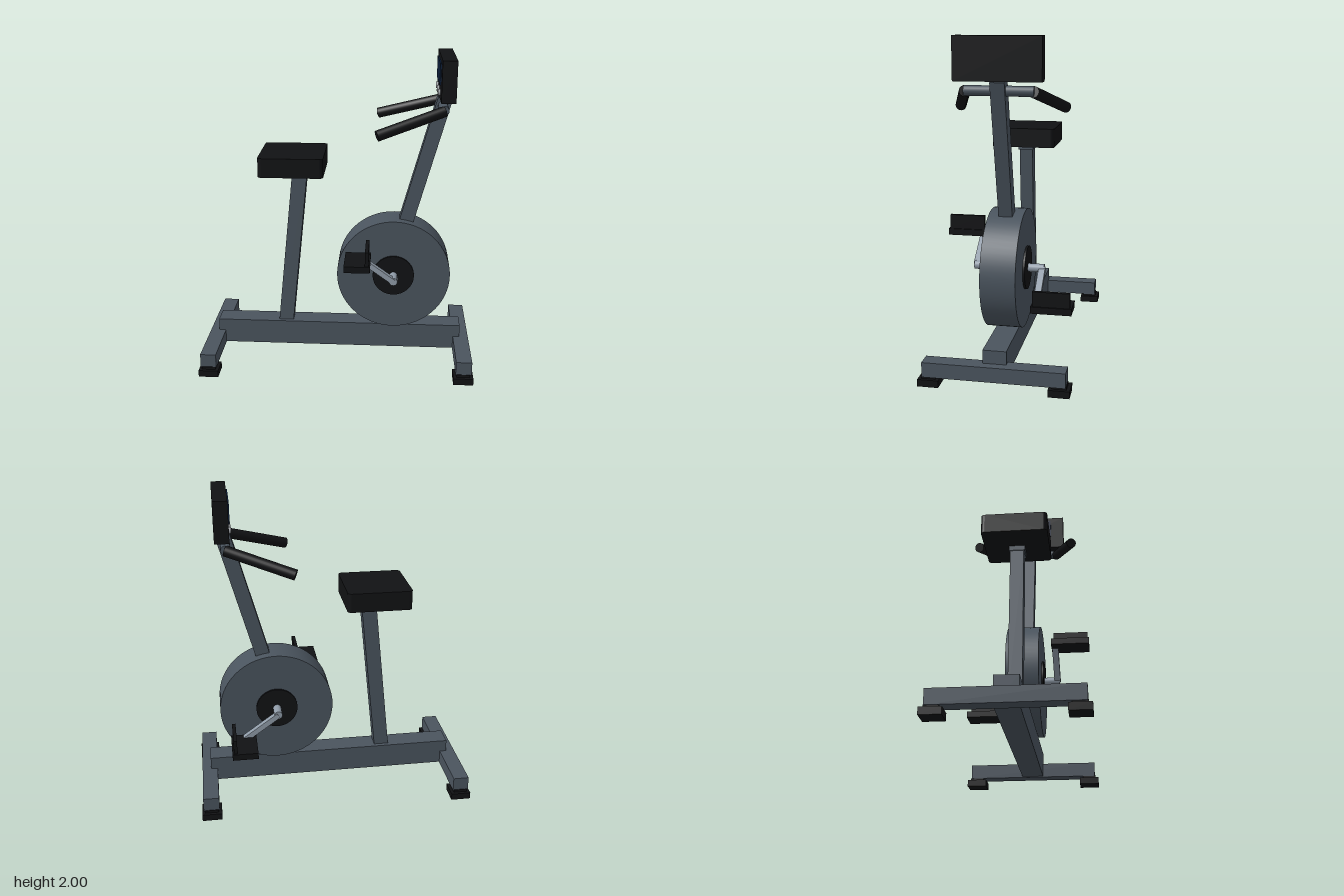
import * as THREE from 'three';

const mat = (color) => new THREE.MeshStandardMaterial({ color });

export function createModel() {
  const root = new THREE.Group();
  const frame = mat(0x4a545e), black = mat(0x111214), steel = mat(0x8f9ba8);
  const screenBlue = mat(0x0a1d38), buttonGrey = mat(0xa0a4a8);

  const add = (name, geo, material, x = 0, y = 0, z = 0, parent = root) => {
    const m = new THREE.Mesh(geo, material);
    m.name = name;
    m.position.set(x, y, z);
    parent.add(m);
    return m;
  };
  const box = (name, w, h, d, material, x, y, z, parent) =>
    add(name, new THREE.BoxGeometry(w, h, d), material, x, y, z, parent);
  // Disc or shaft lying along z
  const disc = (name, r, len, material, x, y, z, sides = 64) =>
    add(name, new THREE.CylinderGeometry(r, r, len, sides).rotateX(Math.PI / 2), material, x, y, z);
  // Orient a part whose length runs along y between two points
  const span = (name, makeGeo, material, a, b) => {
    const from = new THREE.Vector3(...a), to = new THREE.Vector3(...b);
    const dir = to.clone().sub(from), mid = from.clone().add(to).multiplyScalar(0.5);
    const m = add(name, makeGeo(dir.length()), material, mid.x, mid.y, mid.z);
    m.quaternion.setFromUnitVectors(new THREE.Vector3(0, 1, 0), dir.normalize());
    return m;
  };

  // Base: long beam, cross bars and stepped feet
  box('baseBeam', 1.61, 0.165, 0.14, frame, 0, 0.143, 0);
  for (const sx of [-1, 1]) {
    box('crossBar', 0.1, 0.09, 0.84, frame, sx * 0.812, 0.1, 0);
    for (const sz of [-1, 1]) {
      const foot = new THREE.Group();
      foot.name = 'foot';
      foot.position.set(sx * 0.81, 0, sz * 0.382);
      box('footPad', 0.125, 0.043, 0.125, black, 0, 0.0215, 0, foot);
      box('footNeck', 0.085, 0.02, 0.085, black, 0, 0.05, 0, foot);
      root.add(foot);
    }
  }

  // Seat post, bracket and cushion with rounded corners in plan
  span('seatPost', (l) => new THREE.BoxGeometry(0.095, l, 0.085), frame, [-0.354, 0.2, 0], [-0.249, 1.245, 0]);
  box('seatBracket', 0.115, 0.035, 0.1, frame, -0.247, 1.25, 0);
  const w = 0.203, r = 0.025, s = new THREE.Shape();
  s.absarc(w - r, w - r, r, 0, Math.PI / 2);
  s.absarc(r - w, w - r, r, Math.PI / 2, Math.PI);
  s.absarc(r - w, r - w, r, Math.PI, Math.PI * 1.5);
  s.absarc(w - r, r - w, r, Math.PI * 1.5, Math.PI * 2);
  const cushion = new THREE.ExtrudeGeometry(s, { depth: 0.122, bevelEnabled: false, curveSegments: 6 });
  add('seat', cushion.rotateX(-Math.PI / 2), black, -0.29, 1.264, 0);

  // Flywheel, hub and axle
  const cx = 0.358, cy = 0.594;
  disc('flywheel', 0.364, 0.21, frame, cx, cy, 0);
  disc('hub', 0.133, 0.236, black, cx, cy, 0, 48);
  disc('axle', 0.026, 0.435, steel, cx, cy, 0, 24);

  // Cranks and pedals, opposed by half a turn
  for (const side of [1, -1]) {
    const px = cx - side * 0.225, py = cy + side * 0.162, z = side * 0.204;
    span('crank', (l) => new THREE.BoxGeometry(0.034, l, 0.04), steel, [cx, cy, z], [px, py, z]);
    const pedal = new THREE.Group();
    pedal.name = 'pedal';
    pedal.position.set(px, py, side * 0.302);
    box('pedalPlate', 0.16, 0.04, 0.242, black, 0, 0, 0, pedal);
    box('toeStop', 0.022, 0.092, 0.222, black, 0.06, 0.064, 0, pedal);
    root.add(pedal);
  }

  // Front post, handlebar and angled grips
  span('frontPost', (l) => new THREE.BoxGeometry(0.09, l, 0.084), frame, [0.428, 0.92, 0], [0.656, 1.757, 0]);
  disc('handlebar', 0.03, 0.4, frame, 0.638, 1.695, 0, 24);
  for (const side of [1, -1]) {
    span('grip', (l) => new THREE.CylinderGeometry(0.033, 0.033, l, 24), black,
      [0.642, 1.693, side * 0.195], [0.242, 1.568, side * 0.323]);
  }

  // Console with screen and buttons facing the rider
  box('console', 0.088, 0.25, 0.505, black, 0.658, 1.875, 0);
  box('screen', 0.012, 0.13, 0.32, screenBlue, 0.611, 1.905, 0);
  for (const z of [-0.12, 0, 0.12]) {
    const button = add('button', new THREE.CylinderGeometry(0.02, 0.02, 0.018, 20), buttonGrey, 0.608, 1.793, z);
    button.rotation.z = Math.PI / 2;
  }
  return root;
}
